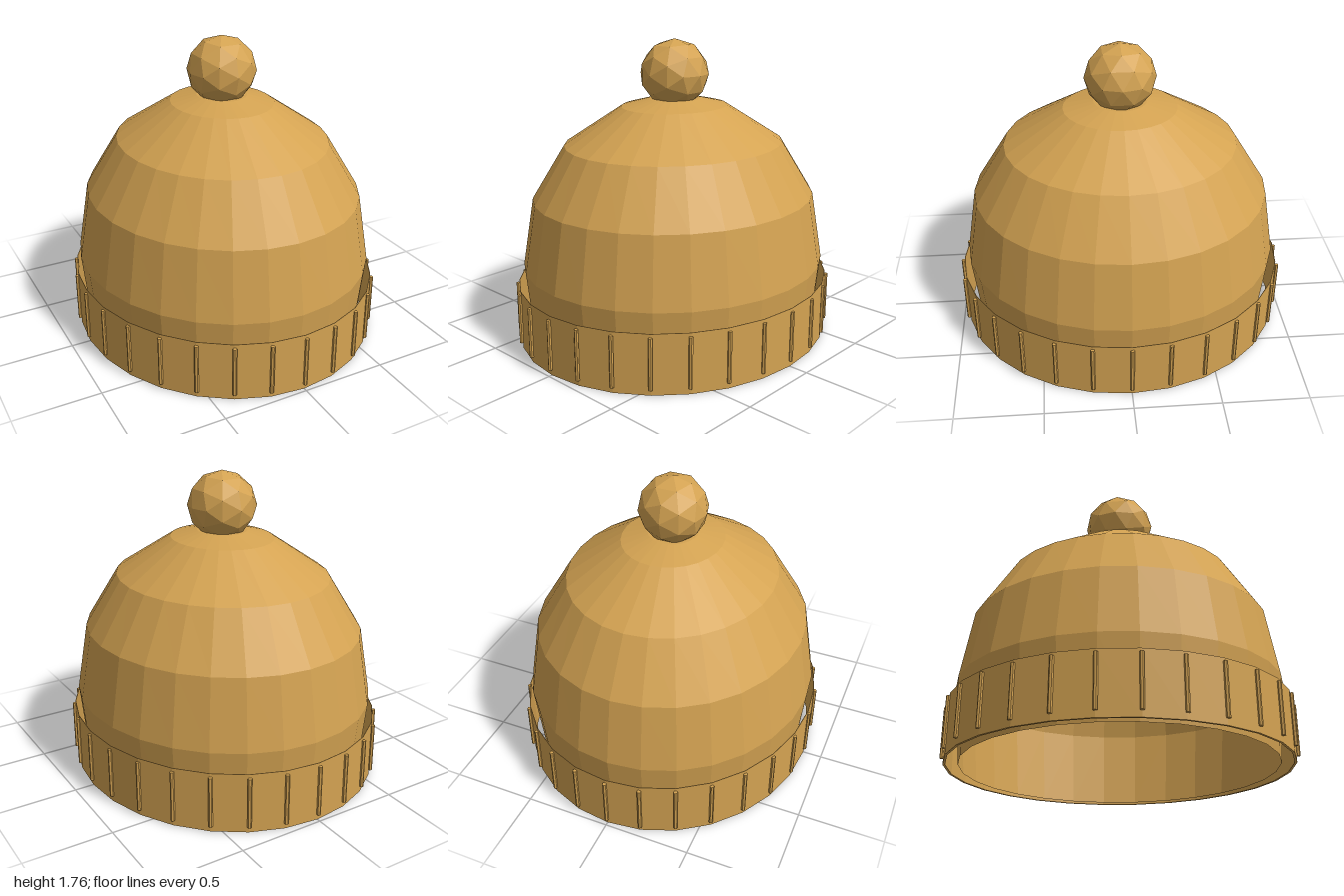
import * as THREE from 'three';

const SIDES = 28;

// Faceted oval shell: each row is [x radius, y, z radius]
function ovalShell(rows, material, name) {
  const points = rows.map(([r, y]) => new THREE.Vector2(Math.max(r, 0.001), y));
  const geometry = new THREE.LatheGeometry(points, SIDES);
  const pos = geometry.attributes.position;
  for (let i = 0; i < pos.count; i++) {
    const [rx, , rz] = rows[i % rows.length];
    if (rx > 0) pos.setZ(i, pos.getZ(i) * rz / rx);
  }
  const flat = geometry.toNonIndexed();
  flat.computeVertexNormals();
  const mesh = new THREE.Mesh(flat, material);
  mesh.name = name;
  return mesh;
}

export function createModel() {
  const hat = new THREE.Group();
  hat.name = 'knittedHat';
  const wool = new THREE.MeshStandardMaterial({ color: 0xd4a352, flatShading: true, side: THREE.DoubleSide });
  wool.name = 'mustard wool';

  // Hollow crown, open at the bottom
  hat.add(ovalShell([
    [0.82, 0, 0.895], [0.863, 0.45, 0.94], [0.796, 0.85, 0.872],
    [0.608, 1.16, 0.679], [0.293, 1.375, 0.33], [0.145, 1.415, 0.155], [0, 1.42, 0],
  ], wool, 'crown'));

  // Turned-up brim, thinning towards its top edge
  hat.add(ovalShell([
    [0.874, 0, 0.965], [0.887, 0, 0.979], [0.887, 0.35, 0.979], [0.884, 0.35, 0.976], [0.874, 0, 0.965],
  ], wool, 'brim'));

  // Knit ribs around the brim
  const ribs = new THREE.Group();
  ribs.name = 'ribs';
  const ribGeometry = new THREE.CylinderGeometry(0.012, 0.012, 0.295, 6);
  for (let i = 0; i < SIDES; i++) {
    const a = (i / SIDES) * Math.PI * 2;
    const rib = new THREE.Mesh(ribGeometry, wool);
    rib.name = 'rib';
    rib.position.set(Math.sin(a) * 0.892, 0.183, Math.cos(a) * 0.988);
    ribs.add(rib);
  }
  hat.add(ribs);

  // Pompom
  const pompom = new THREE.Mesh(new THREE.IcosahedronGeometry(0.2, 1), wool);
  pompom.name = 'pompom';
  pompom.position.y = 1.56;
  pompom.scale.z = 1.03;
  hat.add(pompom);

  return hat;
}
